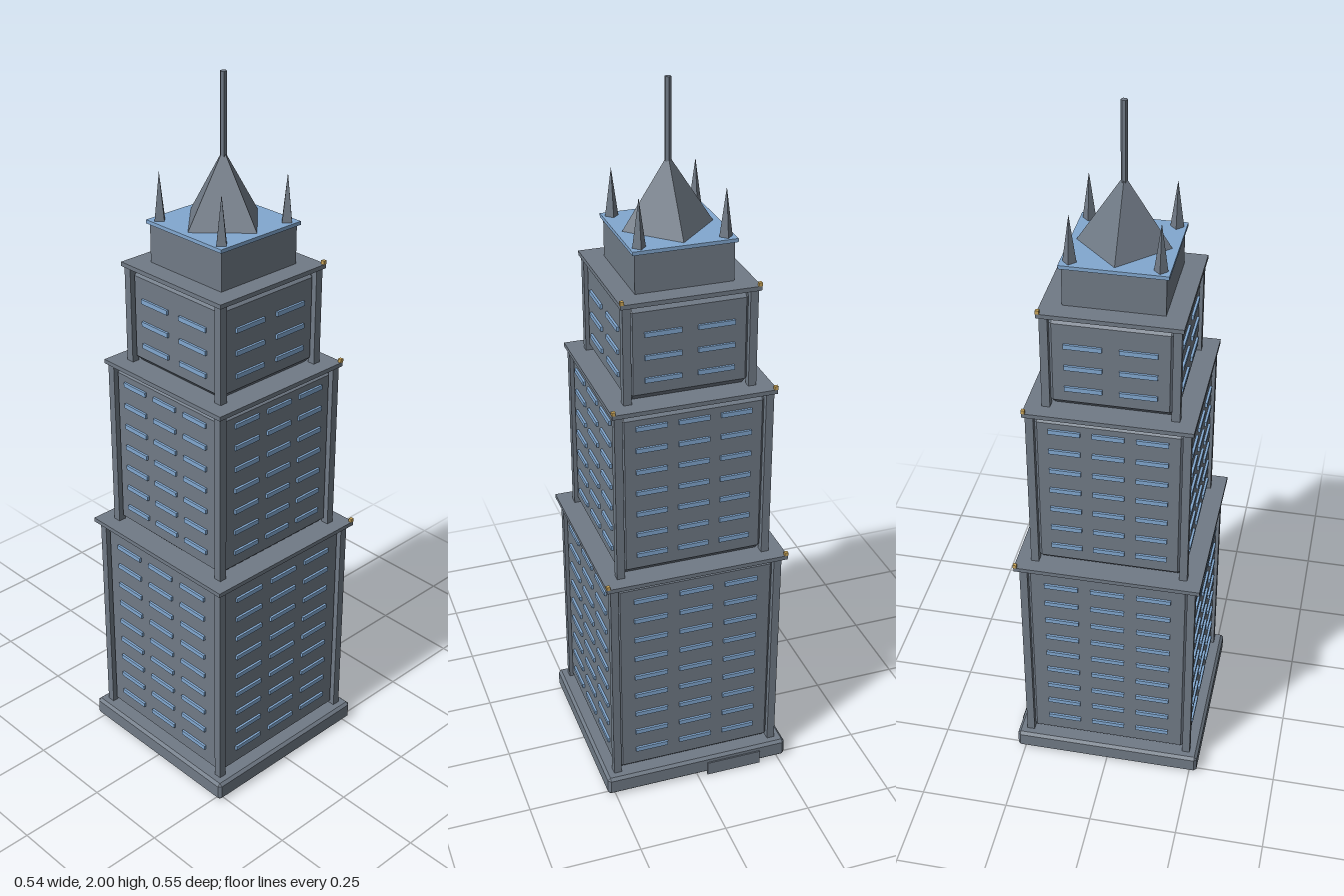
import * as THREE from 'three';
import { ConvexGeometry } from 'three/addons/geometries/ConvexGeometry.js';

const stone = new THREE.MeshStandardMaterial({ name: 'slateStone', color: 0x707a86 });
const glass = new THREE.MeshStandardMaterial({ name: 'blueGlass', color: 0x82a8d0 });
const gold = new THREE.MeshStandardMaterial({ name: 'goldLamp', color: 0xcba65a });

function add(parent, name, geometry, material, x = 0, y = 0, z = 0) {
  const mesh = new THREE.Mesh(geometry, material);
  mesh.name = name;
  mesh.position.set(x, y, z);
  parent.add(mesh);
  return mesh;
}

// Box from y0 to y1, centred on x and z
function block(parent, name, half, y0, y1, material) {
  return add(parent, name, new THREE.BoxGeometry(half * 2, y1 - y0, half * 2), material, 0, (y0 + y1) / 2, 0);
}

// Square block with every edge cut at 45 degrees
function chamferedBlock(parent, name, half, y0, y1, cut) {
  const h = (y1 - y0) / 2;
  const points = [];
  for (const sx of [-1, 1]) for (const sy of [-1, 1]) for (const sz of [-1, 1]) {
    points.push(
      new THREE.Vector3(sx * half, sy * (h - cut), sz * (half - cut)),
      new THREE.Vector3(sx * (half - cut), sy * h, sz * (half - cut)),
      new THREE.Vector3(sx * (half - cut), sy * (h - cut), sz * half));
  }
  return add(parent, name, new ConvexGeometry(points), stone, 0, (y0 + y1) / 2, 0);
}

const TIERS = [
  { name: 'lowerTier', half: 0.238, y0: 0.055, y1: 0.708, roof: 0.26, columns: [-0.131, 0, 0.131], width: 0.096, firstRow: 0.125, rows: 9 },
  { name: 'middleTier', half: 0.21, y0: 0.708, y1: 1.212, roof: 0.226, columns: [-0.117, 0, 0.117], width: 0.086, firstRow: 0.77, rows: 7 },
  { name: 'upperTier', half: 0.173, y0: 1.212, y1: 1.495, roof: 0.188, columns: [-0.072, 0.072], width: 0.1, firstRow: 1.272, rows: 3 },
];

function buildTier(t) {
  const tier = new THREE.Group();
  tier.name = t.name;
  const slabBottom = t.y1 - 0.012;
  chamferedBlock(tier, 'tierBody', t.half, t.y0, slabBottom, 0.02);
  block(tier, 'roofSlab', t.roof, slabBottom, t.y1, stone);

  // Corner pillars
  const height = slabBottom - t.y0;
  for (const sx of [-1, 1]) for (const sz of [-1, 1]) {
    add(tier, 'cornerPillar', new THREE.BoxGeometry(0.022, height, 0.022), stone,
      sx * (t.half - 0.002), t.y0 + height / 2, sz * (t.half - 0.002));
  }

  // Rows of window strips on all four sides
  const pane = new THREE.BoxGeometry(t.width, 0.013, 0.009);
  for (let side = 0; side < 4; side++) {
    const face = new THREE.Group();
    face.name = 'windowWall';
    face.rotation.y = side * Math.PI / 2;
    for (let row = 0; row < t.rows; row++) {
      for (const x of t.columns) add(face, 'window', pane, glass, x, t.firstRow + row * 0.0643, t.half + 0.002);
    }
    tier.add(face);
  }

  // Small lamps on the rear roof corners
  for (const s of [-1, 1]) {
    add(tier, 'roofLamp', new THREE.BoxGeometry(0.01, 0.01, 0.01), gold,
      s * (t.roof - 0.004), t.y1 + 0.005, -(t.roof - 0.004));
  }
  return tier;
}

export function createModel() {
  const tower = new THREE.Group();
  tower.name = 'tower';

  // Plinth with a thin plate on the back
  chamferedBlock(tower, 'plinth', 0.272, 0.004, 0.06, 0.008);
  add(tower, 'backPlate', new THREE.BoxGeometry(0.163, 0.042, 0.008), stone, -0.11, 0.021, -0.272);

  for (const t of TIERS) tower.add(buildTier(t));

  // Crown block and blue terrace
  block(tower, 'crownBlock', 0.133, 1.495, 1.602, stone);
  block(tower, 'terrace', 0.14, 1.602, 1.612, glass);

  // Central pyramid turned 45 degrees, with antenna
  const cone = (r, h) => new THREE.ConeGeometry(r, h, 4).toNonIndexed();
  const flat = (g) => { g.computeVertexNormals(); return g; };
  add(tower, 'pyramidRoof', flat(cone(0.123, 0.19)), stone, 0, 1.707, 0);
  add(tower, 'antenna', flat(new THREE.CylinderGeometry(0.009, 0.009, 0.23, 6).toNonIndexed()), stone, 0, 1.885, 0);

  // Corner pinnacles
  for (const sx of [-1, 1]) for (const sz of [-1, 1]) {
    add(tower, 'pinnacle', flat(cone(0.018, 0.13)), stone, sx * 0.115, 1.677, sz * 0.115);
  }
  return tower;
}
